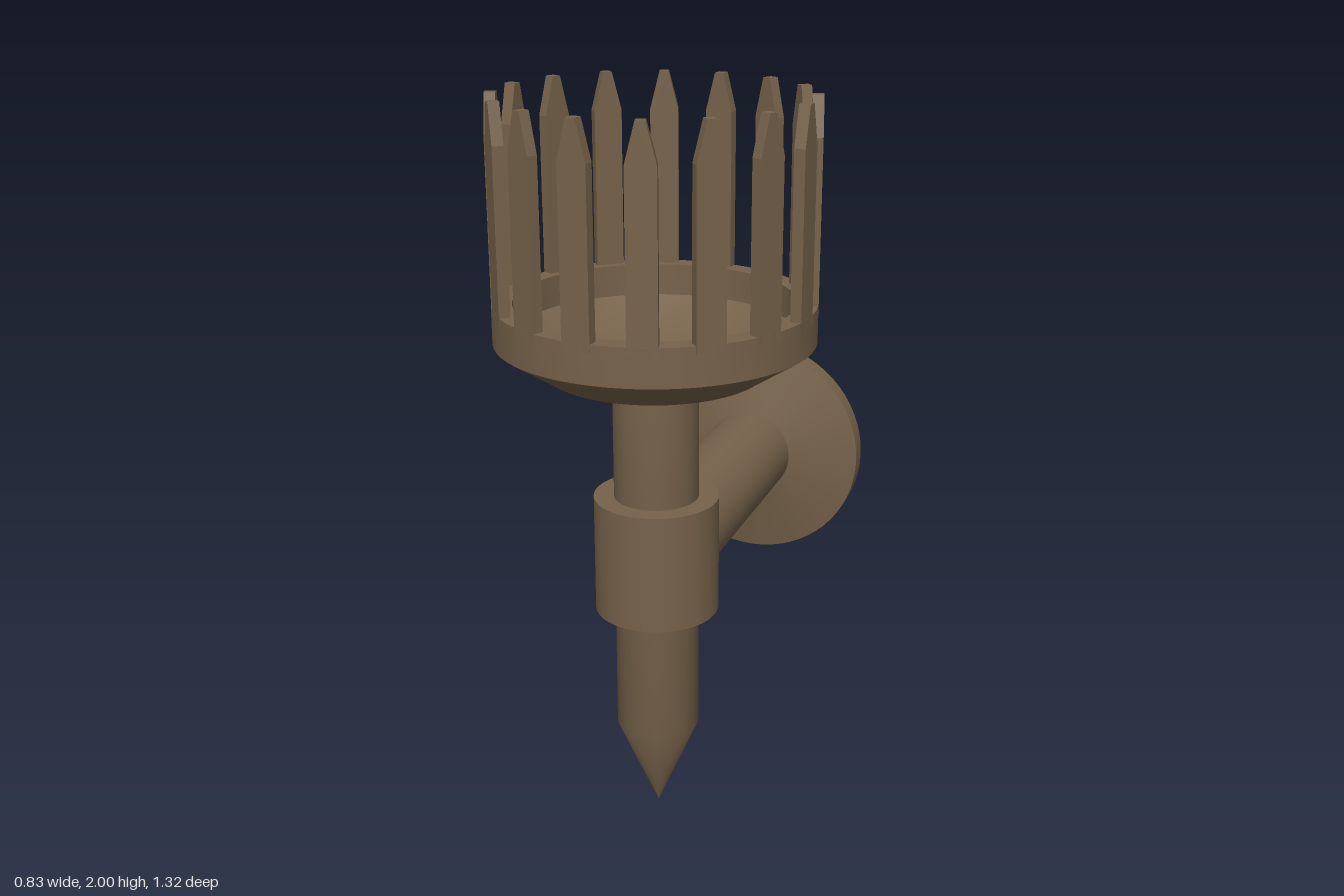
import * as THREE from 'three';
import { toCreasedNormals } from 'three/addons/utils/BufferGeometryUtils.js';

const AXIS_Z = 0.247; // the upright stands forward of the wall plate

export function createModel() {
  const group = new THREE.Group();
  const material = new THREE.MeshStandardMaterial({ color: 0x76624a });

  const add = (name, geometry) => {
    const mesh = new THREE.Mesh(geometry, material);
    mesh.name = name;
    group.add(mesh);
    return mesh;
  };
  const lathe = (points) => toCreasedNormals(
    new THREE.LatheGeometry(points.map(([r, y]) => new THREE.Vector2(r, y)), 64), 0.5);

  // Upright shaft with a pointed foot
  add('shaft', lathe([[0, 0], [0.113, 0.265], [0.113, 1.27]])).position.z = AXIS_Z;

  // Collar that joins the shaft to the arm
  add('collar', lathe([[0, 0.62], [0.167, 0.62], [0.167, 0.945], [0, 0.945]])).position.z = AXIS_Z;

  // Shallow bowl: outside, rim, then inside
  add('bowl', lathe([
    [0, 1.25], [0.113, 1.25], [0.285, 1.295], [0.415, 1.38], [0.415, 1.48],
    [0.362, 1.48], [0.362, 1.395], [0.265, 1.33], [0.11, 1.285], [0, 1.28],
  ])).position.z = AXIS_Z;

  // Hollow arm flaring into a dished wall plate, turned to run backwards
  const arm = lathe([
    [0.13, 0.06], [0.13, 0.807], [0.335, 0.852], [0.335, 0.909], [0.125, 0.811], [0.125, 0.06],
  ]);
  arm.rotateX(-Math.PI / 2);
  add('wallArm', arm).position.set(0, 0.775, AXIS_Z);

  // Ring of picket-shaped prongs on the rim
  const w = 0.0375, tip = 0.012, thickness = 0.029;
  const outline = new THREE.Shape([
    [-w, 1.46], [w, 1.46], [w, 1.9], [tip, 2], [-tip, 2], [-w, 1.9],
  ].map(([x, y]) => new THREE.Vector2(x, y)));
  const prong = new THREE.ExtrudeGeometry(outline, { depth: thickness, bevelEnabled: false });
  prong.translate(0, 0, 0.414 - thickness);
  const count = 16;
  for (let i = 0; i < count; i++) {
    const mesh = add('prong', prong);
    mesh.position.z = AXIS_Z;
    mesh.rotation.y = -0.097 + (i / count) * Math.PI * 2;
  }

  return group;
}
